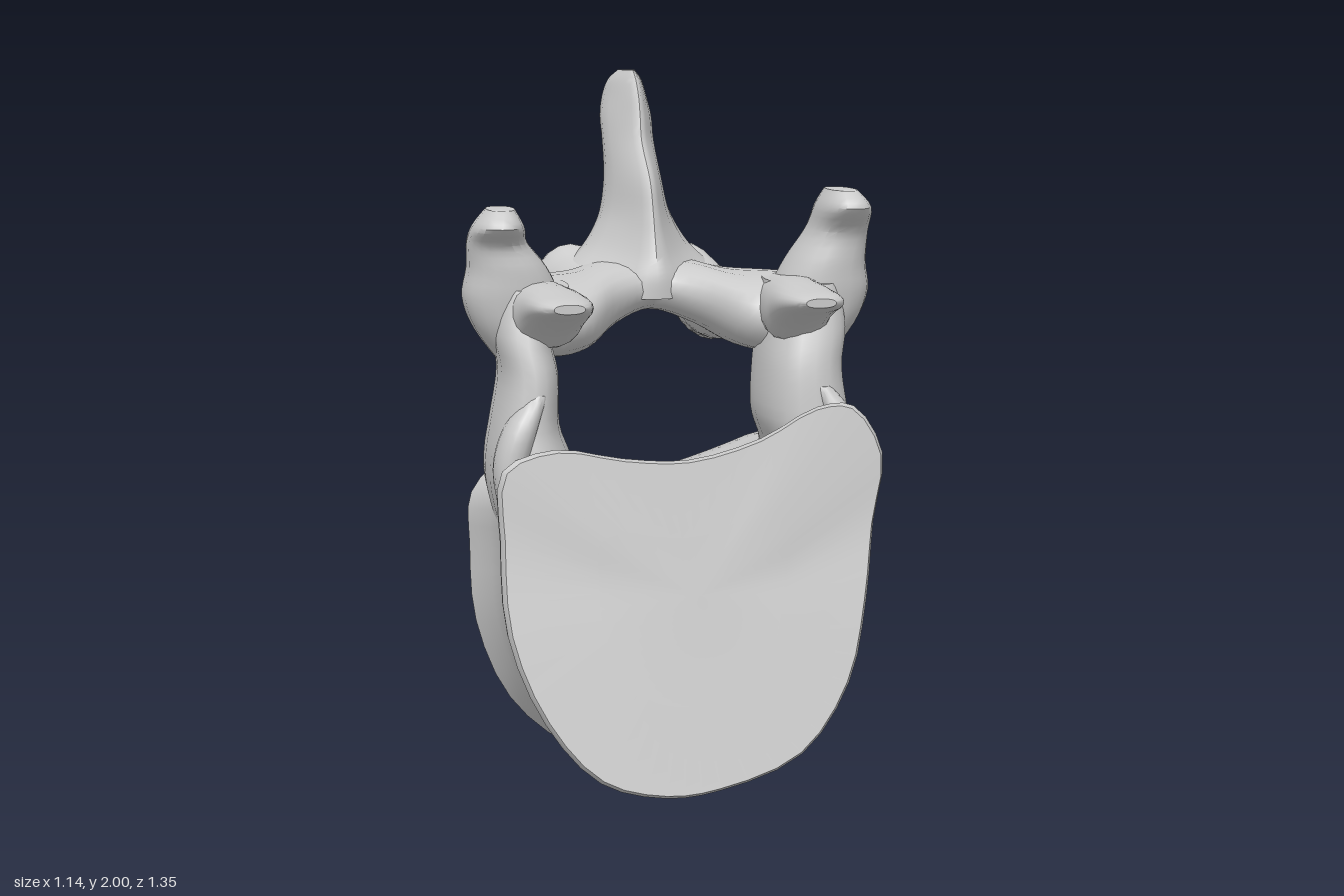
import * as THREE from 'three';
import { toCreasedNormals } from 'three/addons/utils/BufferGeometryUtils.js';

const material = new THREE.MeshStandardMaterial({ color: 0xcccccc });

// Skin a list of equal-length rings of Vector3 and cap both ends.
function loft(name, rings) {
  const n = rings[0].length, m = rings.length, idx = [];
  const pts = rings.flat();
  for (let r = 0; r < m - 1; r++) {
    for (let i = 0; i < n; i++) {
      const a = r * n + i, b = r * n + (i + 1) % n;
      idx.push(a, b, a + n, b, b + n, a + n);
    }
  }
  [0, m - 1].forEach((r) => {
    const c = pts.length;
    pts.push(rings[r].reduce((s, p) => s.add(p), new THREE.Vector3()).divideScalar(n));
    for (let i = 0; i < n; i++) {
      const a = r * n + i, b = r * n + (i + 1) % n;
      if (r) idx.push(a, b, c); else idx.push(b, a, c);
    }
  });
  // Turn the faces outward when the signed volume is negative
  let volume = 0;
  const cross = new THREE.Vector3();
  for (let i = 0; i < idx.length; i += 3) {
    volume += pts[idx[i]].dot(cross.crossVectors(pts[idx[i + 1]], pts[idx[i + 2]]));
  }
  if (volume < 0) idx.reverse();
  const geometry = new THREE.BufferGeometry().setFromPoints(pts);
  geometry.setIndex(idx);
  const mesh = new THREE.Mesh(toCreasedNormals(geometry, 0.7), material);
  mesh.name = name;
  return mesh;
}

// Catmull-Rom blend of section rows, so a few rows give a smooth limb.
function refine(rows, steps = 4) {
  const out = [];
  for (let i = 0; i < rows.length - 1; i++) {
    const [p, a, b, q] = [-1, 0, 1, 2].map((k) => rows[THREE.MathUtils.clamp(i + k, 0, rows.length - 1)]);
    for (let s = 0; s < steps; s++) {
      const t = s / steps;
      out.push(a.map((v, k) => v + 0.5 * t * (b[k] - p[k]
        + t * (2 * p[k] - 5 * v + 4 * b[k] - q[k] + t * (3 * (v - b[k]) + q[k] - p[k])))));
    }
  }
  out.push(rows[rows.length - 1]);
  return out;
}

// Limb along one axis. Row: [position, centre u, centre v, half u, half v],
// with (u, v) = (y, z) for axis x, (x, z) for axis y and (x, y) for axis z.
// taper narrows u toward +v, shear slides u along v.
function limb(name, axis, rows, { side = 1, taper = 0, shear = 0 } = {}) {
  const soft = (v) => Math.sign(v) * Math.abs(v) ** 0.85;
  const rings = refine(rows).map(([p, cu, cv, hu, hv]) => {
    const ring = [];
    for (let i = 0; i < 20; i++) {
      const a = (i / 20) * Math.PI * 2, s = soft(Math.sin(a));
      const u = cu + hu * soft(Math.cos(a)) * (1 - taper * s) + shear * hv * s, v = cv + hv * s;
      const q = axis === 'x' ? [p, u, v] : axis === 'y' ? [u, p, v] : [u, v, p];
      ring.push(new THREE.Vector3(q[0] * side, q[1], q[2]));
    }
    return ring;
  });
  return loft(name, rings);
}

// Leaning, waisted block between a front and a back end plate
function vertebralBody() {
  const front = [[0, 0.99], [0.2, 1.04], [0.36, 1.12], [0.46, 1.12], [0.54, 0.99], [0.51, 0.8],
    [0.48, 0.6], [0.42, 0.38], [0.28, 0.2], [0.05, 0.12], [-0.1, 0.11], [-0.27, 0.16],
    [-0.41, 0.32], [-0.5, 0.55], [-0.51, 0.8], [-0.5, 0.98], [-0.36, 1.03], [-0.18, 1.0]];
  const back = [[0, 0.82], [0.2, 0.87], [0.36, 0.92], [0.47, 0.91], [0.54, 0.83], [0.53, 0.7],
    [0.54, 0.5], [0.5, 0.27], [0.32, 0.08], [0.1, 0.01], [-0.08, 0], [-0.27, 0.04],
    [-0.44, 0.18], [-0.53, 0.4], [-0.54, 0.62], [-0.53, 0.77], [-0.42, 0.87], [-0.2, 0.86]];
  const outline = (pts, plane) => new THREE.CatmullRomCurve3(
    pts.map(([x, y]) => new THREE.Vector3(x, y, plane(y))), true).getPoints(54).slice(0, 54);
  const f = outline(front, (y) => (y < 0.8 ? 0.7 - 0.235 * y : 0.512 - 0.13 * (y - 0.8)));
  const b = outline(back, (y) => 0.05 - 0.42 * y + 0.18 * y * y);
  const fc = new THREE.Vector3(0, 0.58, 0.56), bc = new THREE.Vector3(0, 0.46, -0.1);
  // Each row: place between the plates, scale about the axis
  const rows = [[0, 0.5], [0, 0.98], [0.03, 1], [0.15, 0.98], [0.32, 0.945], [0.5, 0.92],
    [0.68, 0.93], [0.85, 0.965], [0.97, 1], [1, 0.98], [1, 0.5]];
  return loft('vertebralBody', rows.map(([t, s]) => {
    const c = fc.clone().lerp(bc, t);
    return f.map((p, i) => p.clone().lerp(b[i], t).sub(c).multiplyScalar(s).add(c));
  }));
}

export function createModel() {
  const group = new THREE.Group();
  group.add(vertebralBody());

  // Roof of the canal, one arch from side to side
  const half = [[0.45, 1.36, 0.14, 0.08, 0.12], [0.33, 1.325, 0.03, 0.11, 0.25],
    [0.22, 1.33, -0.05, 0.105, 0.29], [0.12, 1.365, -0.15, 0.09, 0.24]];
  group.add(limb('archRoof', 'x', [
    ...half.map(([x, ...r]) => [-x, ...r]),
    [0, 1.385, -0.195, 0.075, 0.2],
    ...half.slice().reverse(),
  ]));

  // Tall blade leaning backward, flaring into the roof, narrow along its front ridge
  group.add(limb('spinousProcess', 'y', [
    [1.36, 0, -0.17, 0.24, 0.2], [1.42, 0, -0.185, 0.195, 0.215], [1.48, 0, -0.21, 0.14, 0.22],
    [1.54, 0, -0.23, 0.105, 0.215], [1.6, 0, -0.255, 0.084, 0.215], [1.69, 0, -0.295, 0.071, 0.205],
    [1.79, 0, -0.385, 0.066, 0.165], [1.86, 0.005, -0.45, 0.066, 0.175], [1.92, 0.008, -0.495, 0.056, 0.178],
    [1.97, 0.01, -0.515, 0.042, 0.14], [2.0, 0.01, -0.51, 0.02, 0.08],
  ], { taper: 0.6 }));

  // Paired parts; the two sides differ slightly
  [[1, 'left', 0, 0, -0.015], [-1, 'right', -0.04, 0.025, 0.02]].forEach(([side, label, drop, out, tip]) => {
    const add = (part, axis, rows, shear = 0) => group.add(limb(label + part, axis, rows, { side, shear }));
    const cx = 0.365 + 1.4 * out, hx = 0.115 - 1.4 * out;
    add('Pedicle', 'y', [
      [0.7, 0.4, 0.1, 0.07, 0.2], [0.86, 0.405, 0.14, 0.105, 0.26], [0.96, 0.4, 0.175, 0.115, 0.26],
      [1.06, cx + 0.01, 0.2, hx + 0.012, 0.22], [1.2, cx, 0.2, hx, 0.205],
      [1.31, cx + 0.015, 0.185, hx, 0.19], [1.43, 0.38, 0.17, 0.1, 0.16],
    ]);
    add('SuperiorArticularProcess', 'z', [
      [0.08, 0.37, 1.36, 0.1, 0.08], [0.3, 0.335 + out, 1.36, 0.095, 0.09],
      [0.4, 0.325 + out, 1.385, 0.09, 0.065], [0.5, 0.32 + out, 1.405, 0.085, 0.04],
      [0.58, 0.32 + out, 1.415, 0.07, 0.025], [0.63, 0.315 + out, 1.42, 0.04, 0.012],
    ]);
    add('TransverseProcess', 'y', [
      [1.2, 0.41, 0.15, 0.05, 0.08], [1.31, 0.435, 0.155, 0.105, 0.13], [1.4, 0.44, 0.165, 0.132, 0.14],
      [1.48, 0.45, 0.175, 0.11, 0.135], [1.57 + drop / 2, 0.477, 0.195, 0.082, 0.12],
      [1.64 + drop, 0.478, 0.25, 0.068, 0.135], [1.685 + drop, 0.472, 0.25, 0.038, 0.09],
    ]);
    // Lower edge leans outward, so the canal stays clear
    add('InferiorArticularProcess', 'z', [
      [0.05, 0.31, 1.33, 0.08, 0.1], [-0.15, 0.215, 1.32, 0.1, 0.11], [-0.3, 0.205, 1.325, 0.1, 0.13],
      [-0.4, 0.215 + tip, 1.33, 0.09, 0.15], [-0.48, 0.245 + tip, 1.295, 0.06, 0.135],
      [-0.54, 0.275 + tip, 1.255, 0.035, 0.085], [-0.575, 0.285 + tip, 1.245, 0.015, 0.045],
    ], -0.3);
    // Small bump where the pedicle meets the front rim
    add('RimTubercle', 'y', [
      [0.8, 0.46, 0.36, 0.03, 0.08], [0.95, 0.47, 0.37, 0.045, 0.08],
      [1.07, 0.44, 0.38, 0.045, 0.07], [1.16, 0.39, 0.37, 0.025, 0.04],
    ]);
  });
  return group;
}
